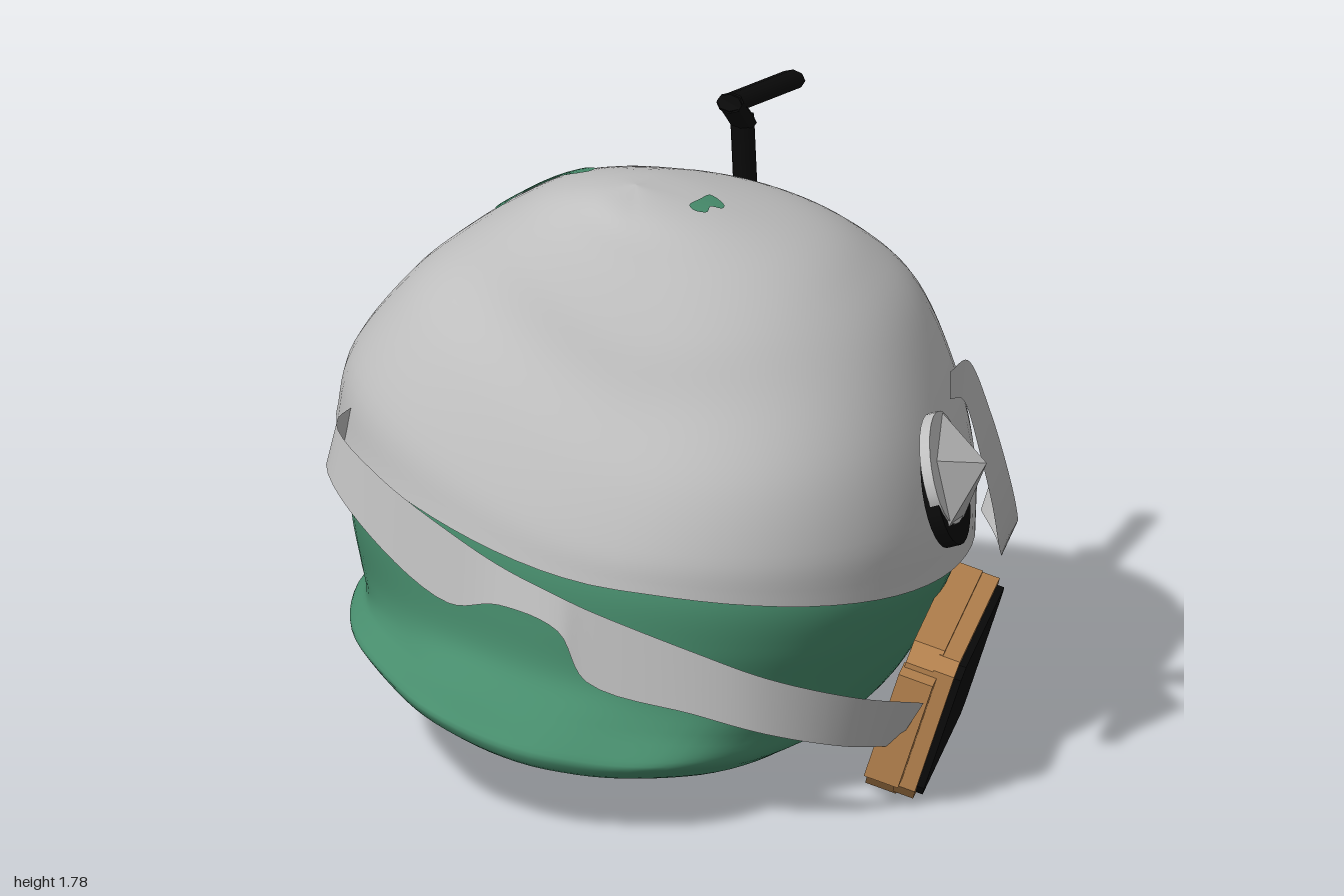
import * as THREE from 'three';

const mat = (name, color, side = THREE.FrontSide) => {
  const m = new THREE.MeshStandardMaterial({ color, side });
  m.name = name;
  return m;
};
const V = (x, y, z) => new THREE.Vector3(x, y, z);

// Surface from an indexed grid of points; rows run upwards
function gridGeometry(points, cols, wrap) {
  const rows = points.length / cols, index = [];
  for (let r = 0; r < rows - 1; r++) {
    for (let c = 0; c < (wrap ? cols : cols - 1); c++) {
      const a = r * cols + c, b = r * cols + (c + 1) % cols;
      index.push(a, a + cols, b, b, a + cols, b + cols);
    }
  }
  const g = new THREE.BufferGeometry().setFromPoints(points);
  g.setIndex(index);
  g.computeVertexNormals();
  return g;
}

// Lopsided rings: [xMin, xMax, zMin, zMax, y at each of these, centreX, centreZ, skew, ripple]
// Skew fills the front left corner and flattens the front right one; ripple also pinches the back.
// Power sets how y blends around the ring
function loft(rings, power, cols = 72, rows = 40) {
  const lines = [];
  for (let c = 0; c < cols; c++) {
    const a = c / cols * Math.PI * 2, co = Math.cos(a), si = Math.sin(a);
    const w = Math.abs(co) ** power;
    const wave = Math.sin(7 * a) + 0.6 * Math.sin(12 * a + 1);
    const pinch = 10 * Math.max(0, Math.cos(a - 3.75)) ** 4;
    const lean = 1.35 * Math.sin(2 * a) * Math.max(0, si);
    lines.push(new THREE.CatmullRomCurve3(rings.map(([xm, xp, zm, zp, yxm, yxp, yzm, yzp, cx, cz, skew, ripple = 0]) => {
      const k = 1 + ripple * (wave - pinch) + skew * lean;
      return V(
        cx + Math.abs(co) * k * ((co > 0 ? xp : xm) - cx),
        w * (co > 0 ? yxp : yxm) + (1 - w) * (si > 0 ? yzp : yzm) + ripple * wave * 0.5,
        cz + Math.abs(si) * k * ((si > 0 ? zp : zm) - cz));
    }), false, 'catmullrom', 0.5));
  }
  const points = [];
  for (let r = 0; r <= rows; r++) for (const l of lines) points.push(l.getPoint(r / rows));
  return gridGeometry(points, cols, true);
}

// Thin band between two edge curves; rows are [xTop, yTop, zTop, xBottom, yBottom, zBottom]
function ribbon(rows, n = 60) {
  const edges = [3, 0].map(o => new THREE.CatmullRomCurve3(rows.map(r => V(r[o], r[o + 1], r[o + 2]))));
  const points = [];
  for (const e of edges) for (let i = 0; i <= n; i++) points.push(e.getPoint(i / n));
  return gridGeometry(points, n + 1, false);
}

// Rectangle with cut corners in the z-y plane, extruded along x
function plate(depth, h, w, cut) {
  const s = new THREE.Shape(), a = w / 2, b = h / 2;
  [[a - cut, -b], [a, cut - b], [a, b - cut], [a - cut, b], [cut - a, b], [-a, b - cut], [-a, cut - b], [cut - a, -b]]
    .forEach(([x, y], i) => i ? s.lineTo(x, y) : s.moveTo(x, y));
  const g = new THREE.ExtrudeGeometry(s, { depth, bevelEnabled: false });
  return g.translate(0, 0, -depth / 2).rotateY(Math.PI / 2);
}

export function createModel() {
  const model = new THREE.Group();
  const grey = mat('grey shell', 0xbfbfbf, THREE.DoubleSide);
  const green = mat('green cloth', 0x478c6c, THREE.DoubleSide);
  const black = mat('black', 0x0a0a0a);
  const tan = mat('tan casing', 0xb98550);
  const hoodGrey = mat('hood grey', 0xb0b0b0, THREE.DoubleSide);
  hoodGrey.flatShading = true;
  const add = (name, geo, material, parent = model) => {
    const m = new THREE.Mesh(geo, material);
    m.name = name;
    parent.add(m);
    return m;
  };

  // Grey dome, steep at the front
  const dome = add('dome', loft([
    [-.94, .83, -.81, .86, .87, .56, .84, .695, -.02, 0, .06],
    [-.90, .83, -.81, .84, 1.05, .76, .95, .80, -.02, 0, .075],
    [-.75, .78, -.77, .77, 1.25, 1.0, 1.08, .97, 0, 0, .085],
    [-.60, .68, -.67, .65, 1.38, 1.25, 1.21, 1.16, 0, 0, .085],
    [-.46, .55, -.50, .57, 1.49, 1.40, 1.37, 1.32, 0, .05, .07],
    [-.34, .40, -.28, .46, 1.57, 1.50, 1.51, 1.48, 0, .10, .04],
    [-.20, .17, -.02, .35, 1.62, 1.58, 1.605, 1.59, -.05, .17, 0],
    [-.08, -.08, .18, .18, 1.635, 1.635, 1.635, 1.635, -.08, .18, 0],
  ], 1.5), grey);

  // Green cap with flared brim and sloping underside
  add('cap', loft([
    [-.2, -.2, 0, 0, .185, .185, .185, .185, -.2, 0, 0],
    [-.74, .34, -.82, .82, .27, .085, .165, .17, -.2, 0, .02, .004],
    [-.90, .50, -.99, .99, .35, .115, .20, .23, -.2, 0, .025, .011],
    [-.86, .60, -.89, .89, .40, .18, .28, .31, -.15, 0, .035, .006],
    [-.87, .69, -.79, .82, .47, .30, .36, .39, -.1, 0, .05],
    [-.90, .76, -.77, .82, .62, .45, .55, .52, -.05, 0, .06],
    [-.90, .80, -.77, .82, .78, .58, .70, .66, -.03, 0, .06],
    [-.86, .76, -.74, .78, 1.0, .72, .95, .80, -.03, 0, .06],
  ], 1.15, 96, 48), green);

  // Green patches laid on the dome
  dome.updateMatrixWorld();
  const ray = new THREE.Raycaster();
  const patch = (name, cx, cz, outline) => {
    const closed = new THREE.CatmullRomCurve3(outline.map(([x, z]) => V(x, 0, z)), true);
    const cols = 36, points = [];
    for (let r = 0; r <= 8; r++) {
      for (let c = 0; c < cols; c++) {
        const p = V(cx, 0, cz).lerp(closed.getPoint(c / cols), r / 8);
        ray.set(V(p.x, 3, p.z), V(0, -1, 0));
        points.push(V(p.x, ray.intersectObject(dome)[0].point.y + 0.006, p.z));
      }
    }
    add(name, gridGeometry(points, cols, true), green);
  };
  patch('largePatch', -.38, -.14, [[-.5, -.03], [-.515, -.1], [-.46, -.23], [-.38, -.3], [-.3, -.275],
    [-.275, -.13], [-.23, -.04], [-.24, .01], [-.3, -.005], [-.36, -.045], [-.44, -.05]]);
  patch('smallPatch', .12, .19, [[.08, .24], [.1, .18], [.12, .13], [.165, .17], [.165, .2], [.135, .21], [.13, .25], [.1, .26]]);

  // Straps, [x, yTop, yBottom, z, lean]; lean moves the bottom edge out and the top edge in
  const band = rows => ribbon(rows.map(([x, t, b, z, l = .015]) =>
    [x * (1 - l), t, z * (1 - l), x * (1 + l), b, z * (1 + l)]));
  add('frontStrap', band([[-.85, .96, .84, .2], [-.9, .95, .83, .37], [-.74, .88, .71, .59], [-.5, .78, .59, .75],
    [-.35, .72, .62, .82], [-.18, .66, .57, .865], [-.1, .63, .43, .875], [.2, .53, .35, .88, .005],
    [.4, .46, .29, .855, -.01], [.62, .39, .225, .76, -.035], [.76, .34, .18, .625, -.06]]), grey);
  add('backStrap', band([[.72, .33, .16, -.12], [.67, .31, .16, -.36], [.52, .31, .17, -.6], [.25, .38, .25, -.755],
    [0, .46, .32, -.8], [-.25, .53, .39, -.785], [-.5, .56, .43, -.695]]), grey);

  // Wavy side ribbon
  add('sideRibbon', ribbon([[.835, 1.22, .4, .835, 1.14, .4], [.855, 1.18, .2, .85, 1.08, .25],
    [.89, .97, .04, .875, .87, .12], [.92, .76, -.07, .89, .68, .01], [.925, .61, -.18, .89, .52, -.1],
    [.905, .52, -.31, .87, .44, -.26], [.86, .51, -.44, .82, .43, -.44], [.79, .545, -.57, .76, .45, -.57]]), grey);

  // Half-round pouch behind the casing
  const half = new THREE.Shape();
  half.absarc(0, 0, .155, Math.PI, Math.PI * 2);
  half.closePath();
  const pouch = add('pouch', new THREE.ExtrudeGeometry(half, { depth: .1, bevelEnabled: false, curveSegments: 16 })
    .translate(0, 0, -.05).rotateZ(.3).rotateY(Math.PI / 2), grey);
  pouch.position.set(.6, .41, -.46);
  pouch.rotation.y = .4;

  // Tilted side casing with dark screen
  const casing = new THREE.Group();
  casing.name = 'sideCasing';
  casing.position.set(.755, .225, .18);
  casing.rotation.z = -.31;
  model.add(casing);
  add('casingBack', plate(.09, .45, .74, .05), tan, casing).position.x = -.03;
  add('casingFront', plate(.06, .43, .74, .035), tan, casing).position.x = .035;
  add('screen', plate(.025, .4, .7, .03), black, casing).position.x = .073;
  for (const s of [-1, 1]) {
    add('casingLug', new THREE.BoxGeometry(.1, .32, .1), tan, casing).position.set(-.03, 0, s * .385);
  }

  // Side lens leaning back with the dome, under a faceted hood
  const lens = new THREE.Group();
  lens.name = 'sideLens';
  lens.position.set(.8, .88, .345);
  lens.rotation.z = .3;
  model.add(lens);
  const disc = (name, r, h, material, x, y, sy) => {
    const m = add(name, new THREE.CylinderGeometry(r, r, h, 28).rotateZ(-Math.PI / 2).scale(1, sy, 1), material, lens);
    m.position.set(x, y, 0);
    m.rotation.x = .2;
  };
  disc('lensRim', .2, .04, black, .005, -.03, .72);
  disc('lensFace', .195, .03, grey, .015, .03, .74);
  const hood = add('lensHood', new THREE.ConeGeometry(.17, .11, 5).rotateZ(-Math.PI / 2).scale(1, .75, 1.2), hoodGrey, lens);
  hood.position.set(.08, .01, -.02);
  hood.rotation.x = .5;

  // Bent antenna
  const joints = [V(.14, 1.45, -.34), V(.13, 1.64, -.35), V(.125, 1.75, -.19), V(.22, 1.665, -.62)];
  for (let i = 0; i < 3; i++) {
    const a = joints[i], b = joints[i + 1];
    const bar = add('antennaBar', new THREE.CylinderGeometry(.038, .038, a.distanceTo(b) + .03, 8)
      .rotateX(Math.PI / 2).scale(1, .72, 1), black);
    bar.position.copy(a).lerp(b, .5);
    bar.lookAt(b);
  }
  return model;
}
